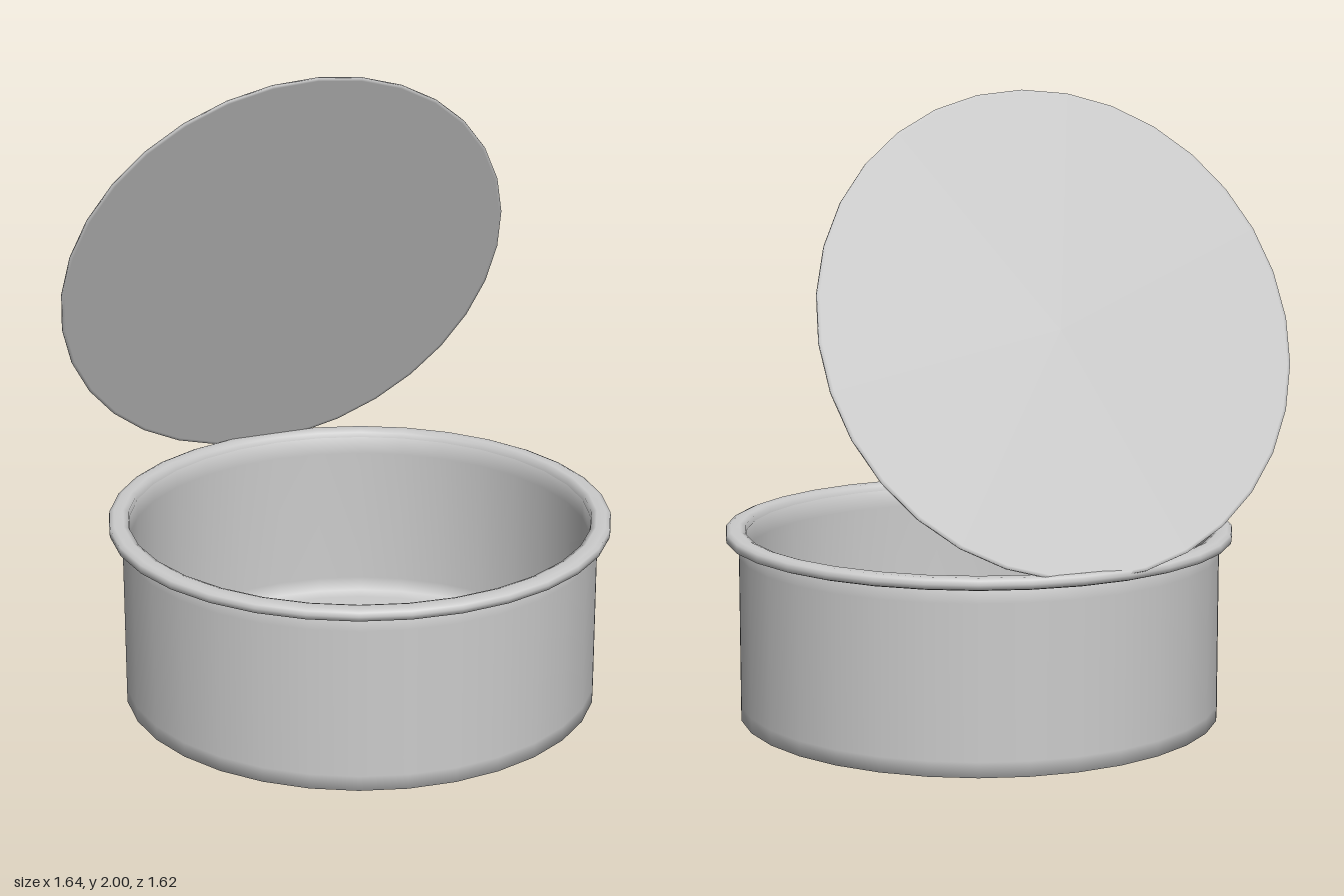
import * as THREE from 'three';

const SIDES = 32;
const material = new THREE.MeshStandardMaterial({ color: 0xcccccc, side: THREE.DoubleSide });

// Turns a [radius, height] profile, outer side running upwards
function turned(name, profile) {
  const points = profile.map(([r, y]) => new THREE.Vector2(r, y));
  const mesh = new THREE.Mesh(new THREE.LatheGeometry(points, SIDES), material);
  mesh.name = name;
  return mesh;
}

export function createModel() {
  const model = new THREE.Group();
  model.name = 'openTin';

  // Tin: base, wall and hollow inside
  const tin = new THREE.Group();
  tin.name = 'tin';
  tin.position.x = 0.007;
  tin.add(turned('body', [
    [0, 0], [0.74, 0], [0.77, 0.002], [0.77, 0.05], [0.77, 0.53], [0.77, 0.59],
    [0.745, 0.59], [0.745, 0.53], [0.745, 0.06], [0.735, 0.015], [0.68, 0.012], [0, 0.012],
  ]));

  // Rolled lip around the mouth
  tin.add(turned('rim', [
    [0.745, 0.58], [0.76, 0.575], [0.795, 0.575], [0.809, 0.58], [0.811, 0.594],
    [0.809, 0.607], [0.795, 0.613], [0.765, 0.613], [0.748, 0.607], [0.745, 0.58],
  ]));
  model.add(tin);

  // Thin lid standing open, leaning forward from the back edge
  const radius = 0.767, half = 0.004;
  const lid = turned('lid', [
    [0, -half], [radius - 0.01, -half], [radius, -half],
    [radius, half], [radius - 0.01, half], [0, half],
  ]);
  const top = new THREE.Vector3(-0.055, 1.998, -0.19);
  const slope = new THREE.Vector3(0, 1.4, 0.6).normalize();
  lid.position.copy(top).addScaledVector(slope, -radius);
  lid.rotation.x = -Math.atan2(slope.y, slope.z);
  model.add(lid);

  return model;
}
